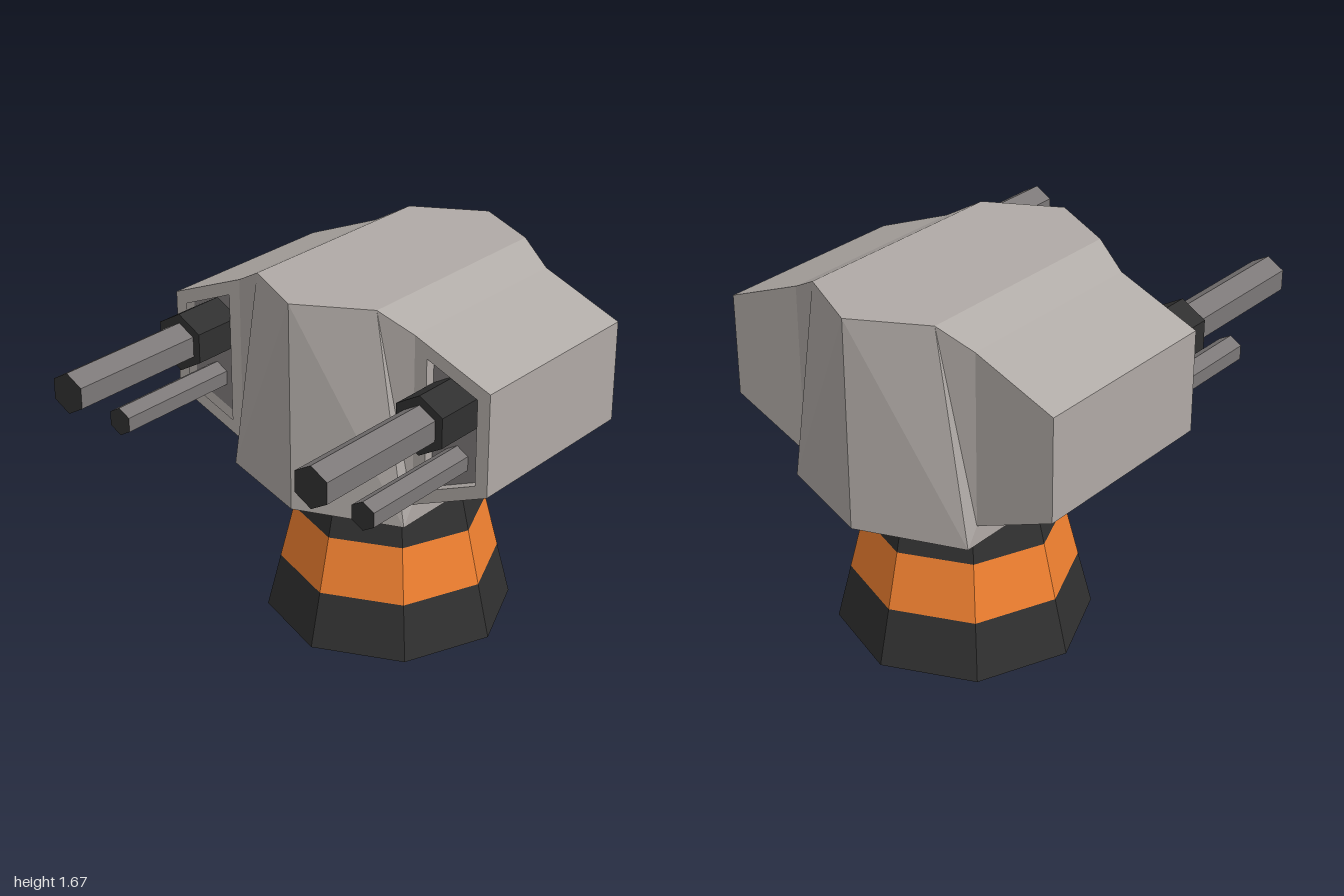
import * as THREE from 'three';

const mat = (color) => new THREE.MeshStandardMaterial({ color, flatShading: true });
const hull = mat(0xb0aaa6), dark = mat(0x303030), steel = mat(0x7c7878), orange = mat(0xf08030);

function add(parent, name, geometry, material, x = 0, y = 0, z = 0) {
  const mesh = new THREE.Mesh(geometry, material);
  mesh.name = name;
  mesh.position.set(x, y, z);
  parent.add(mesh);
  return mesh;
}

// Faceted hull: half profile of [x, y, half length], mirrored left/right and front/back
function hullGeometry() {
  const half = [
    [0, 0.745, 0.6875], [0.465, 0.745, 0.5175], [0.465, 0.83, 0.4625],
    [0.465, 1.59, 0.4625], [0.315, 1.675, 0.5175], [0, 1.675, 0.6875],
  ];
  const centre = new THREE.Vector3(0, 1.2, 0);
  const out = [];
  const tri = (a, b, c) => {
    // turn each triangle to face away from the centre
    const n = b.clone().sub(a).cross(c.clone().sub(a));
    const order = n.dot(a.clone().sub(centre)) > 0 ? [a, b, c] : [a, c, b];
    order.forEach((p) => out.push(p.x, p.y, p.z));
  };
  for (const sx of [1, -1]) {
    const ring = (sz) => half.map(([x, y, z]) => new THREE.Vector3(sx * x, y, sz * z));
    const front = ring(1), back = ring(-1);
    for (let i = 0; i < half.length - 1; i++) {
      tri(front[i], front[i + 1], back[i + 1]);
      tri(front[i], back[i + 1], back[i]);
    }
    for (const p of [front, back]) {
      tri(p[0], p[1], p[5]);
      tri(p[1], p[4], p[5]);
      tri(p[1], p[2], p[4]);
      tri(p[2], p[3], p[4]);
    }
  }
  const g = new THREE.BufferGeometry();
  g.setAttribute('position', new THREE.Float32BufferAttribute(out, 3));
  g.computeVertexNormals();
  return g;
}

// Six-sided rod along z, from z0 to z1
function rod(parent, name, r, x, y, z0, z1, side) {
  const g = new THREE.CylinderGeometry(r, r, z1 - z0, 6).rotateX(Math.PI / 2);
  add(parent, name, g, [side, dark, dark], x, y, (z0 + z1) / 2);
}

function gunPod(s) {
  const pod = new THREE.Group();
  pod.name = s > 0 ? 'leftGunPod' : 'rightGunPod';
  const pts = (list) => list.map(([x, y]) => new THREE.Vector2(s * x, y));
  const outline = pts([[0.465, 0.83], [0.835, 0.985], [0.835, 1.44], [0.465, 1.59]]);
  const opening = pts([[0.525, 0.915], [0.775, 1.02], [0.775, 1.4], [0.525, 1.505]]);
  const extrude = (shape, depth) => new THREE.ExtrudeGeometry(shape, { depth, bevelEnabled: false });
  const front = 0.15, recess = 0.05;

  // housing with a recessed front panel
  add(pod, 'podHousing', extrude(new THREE.Shape(outline), 0.925 - recess), hull, 0, 0, -0.775);
  const rim = new THREE.Shape(outline);
  rim.holes.push(new THREE.Path(opening));
  add(pod, 'podRim', extrude(rim, recess), hull, 0, 0, front - recess);
  add(pod, 'recessPanel', new THREE.ShapeGeometry(new THREE.Shape(opening)), steel, 0, 0, front - recess + 0.003);

  // barrels
  rod(pod, 'barrelCollar', 0.13, s * 0.637, 1.32, 0.08, 0.345, dark);
  rod(pod, 'mainBarrel', 0.09, s * 0.637, 1.32, 0.3, 1, steel);
  rod(pod, 'smallBarrel', 0.063, s * 0.65, 1.08, 0.08, 0.71, steel);
  return pod;
}

export function createModel() {
  const model = new THREE.Group();
  model.name = 'turret';

  // tapered eight-sided pedestal in three bands
  const pedestal = new THREE.Group();
  pedestal.name = 'pedestal';
  pedestal.position.z = -0.303;
  const radius = (y) => 0.557 - 0.248 * y;
  [['lowerBand', dark], ['middleBand', orange], ['upperBand', dark]].forEach(([name, m], i) => {
    const y = i * 0.25;
    const g = new THREE.CylinderGeometry(radius(y + 0.25), radius(y), 0.25, 8, 1, i === 1);
    add(pedestal, name, g, m, 0, y + 0.125, 0);
  });
  model.add(pedestal);

  // turret hull and the two gun pods
  add(model, 'hull', hullGeometry(), hull, 0, 0, -0.3125);
  model.add(gunPod(1), gunPod(-1));
  return model;
}
